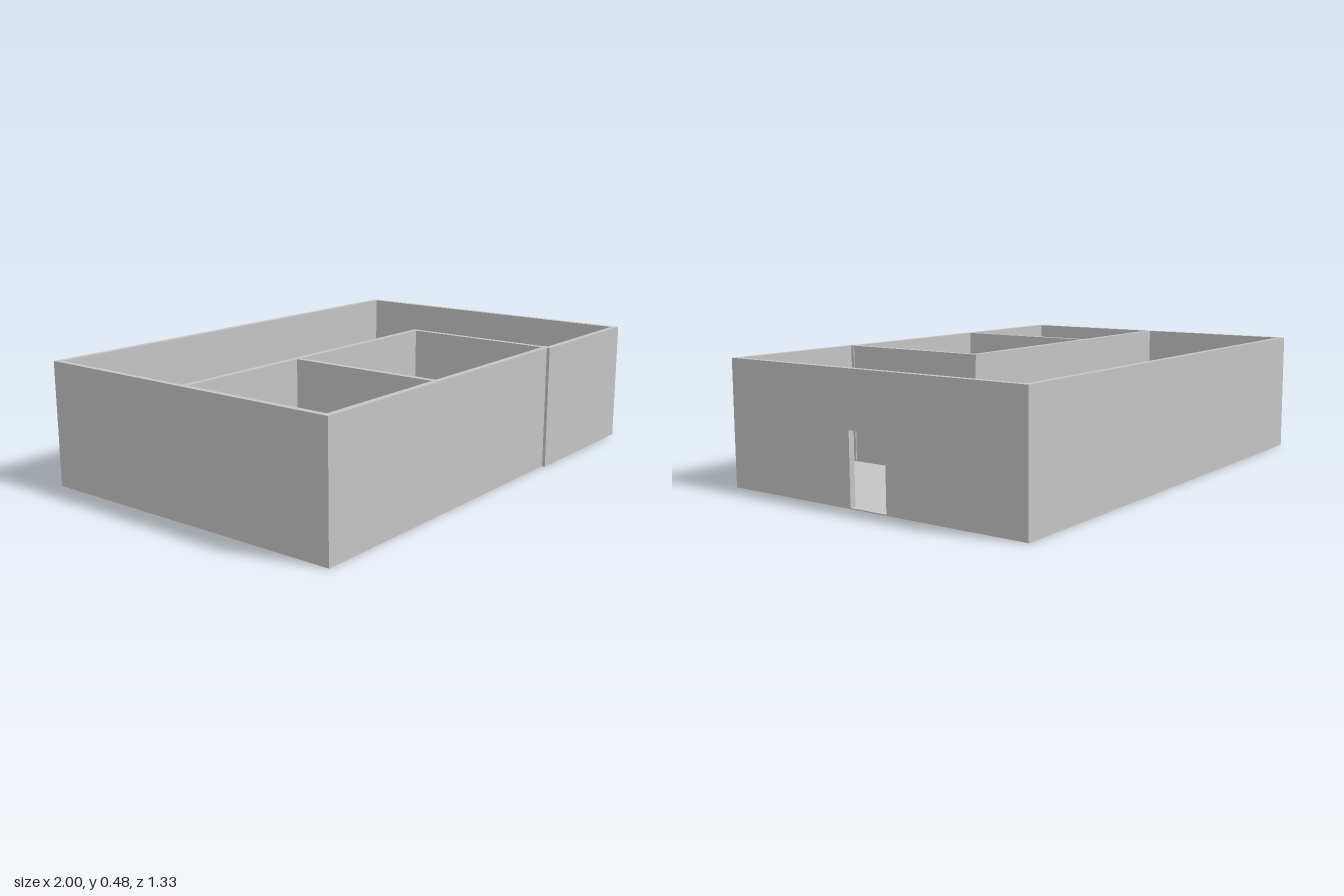
import * as THREE from 'three';

const HEIGHT = 0.482;
const FLOOR = 0.004;
const DOOR_HEIGHT = 0.272;

// Upright wall along a centre line [x, z] to [x, z]; doors are [start, end] distances along it
function makeWall(name, material, from, to, thickness, doors = []) {
  const dx = to[0] - from[0];
  const dz = to[1] - from[1];
  const length = Math.hypot(dx, dz);
  const shape = new THREE.Shape();
  shape.moveTo(0, FLOOR);
  for (const [a, b] of doors) {
    shape.lineTo(a, FLOOR);
    shape.lineTo(a, DOOR_HEIGHT);
    shape.lineTo(b, DOOR_HEIGHT);
    shape.lineTo(b, FLOOR);
  }
  shape.lineTo(length, FLOOR);
  shape.lineTo(length, HEIGHT);
  shape.lineTo(0, HEIGHT);
  shape.closePath();

  const geometry = new THREE.ExtrudeGeometry(shape, { depth: thickness, bevelEnabled: false });
  geometry.translate(0, 0, -thickness / 2);
  const wall = new THREE.Mesh(geometry, material);
  wall.name = name;
  wall.position.set(from[0], 0, from[1]);
  wall.rotation.y = -Math.atan2(dz, dx);
  return wall;
}

export function createModel() {
  const model = new THREE.Group();
  model.name = 'floorPlan';
  const plaster = new THREE.MeshStandardMaterial({ color: 0xc4c4c4 });
  plaster.name = 'lightGrey';

  // Thin floor slab following the slightly skewed outline
  const outline = [
    [-0.98, -0.664], [0.998, -0.664], [0.98, 0.664],
    [0.355, 0.664], [0.355, 0.652], [-1, 0.652],
  ].map(([x, z]) => new THREE.Vector2(x, -z));
  const slab = new THREE.ExtrudeGeometry(new THREE.Shape(outline), { depth: FLOOR, bevelEnabled: false });
  slab.rotateX(-Math.PI / 2);
  const floor = new THREE.Mesh(slab, plaster);
  floor.name = 'floor';
  model.add(floor);

  // Outer walls, with the entrance in the +x side
  const t = 0.024;
  model.add(
    makeWall('backWall', plaster, [-0.98, -0.652], [0.998, -0.652], t),
    makeWall('leftSideWall', plaster, [-0.968, -0.664], [-0.988, 0.652], t),
    makeWall('entranceWall', plaster, [0.987, -0.664], [0.968, 0.64], t, [[0.58, 0.745]]),
    makeWall('frontWallLong', plaster, [-1, 0.64], [0.385, 0.64], t),
    makeWall('frontWallShort', plaster, [0.355, 0.652], [0.98, 0.652], t),
  );

  // Inner partitions; the long one has a doorway into each small room
  model.add(
    makeWall('longPartition', plaster, [-0.98, 0.012], [0.388, 0.012], t, [[0.285, 0.445], [1.005, 1.16]]),
    makeWall('roomDivider', plaster, [-0.397, 0.012], [-0.401, 0.64], t),
    makeWall('endPartition', plaster, [0.377, 0.001], [0.369, 0.645], t),
  );
  return model;
}
